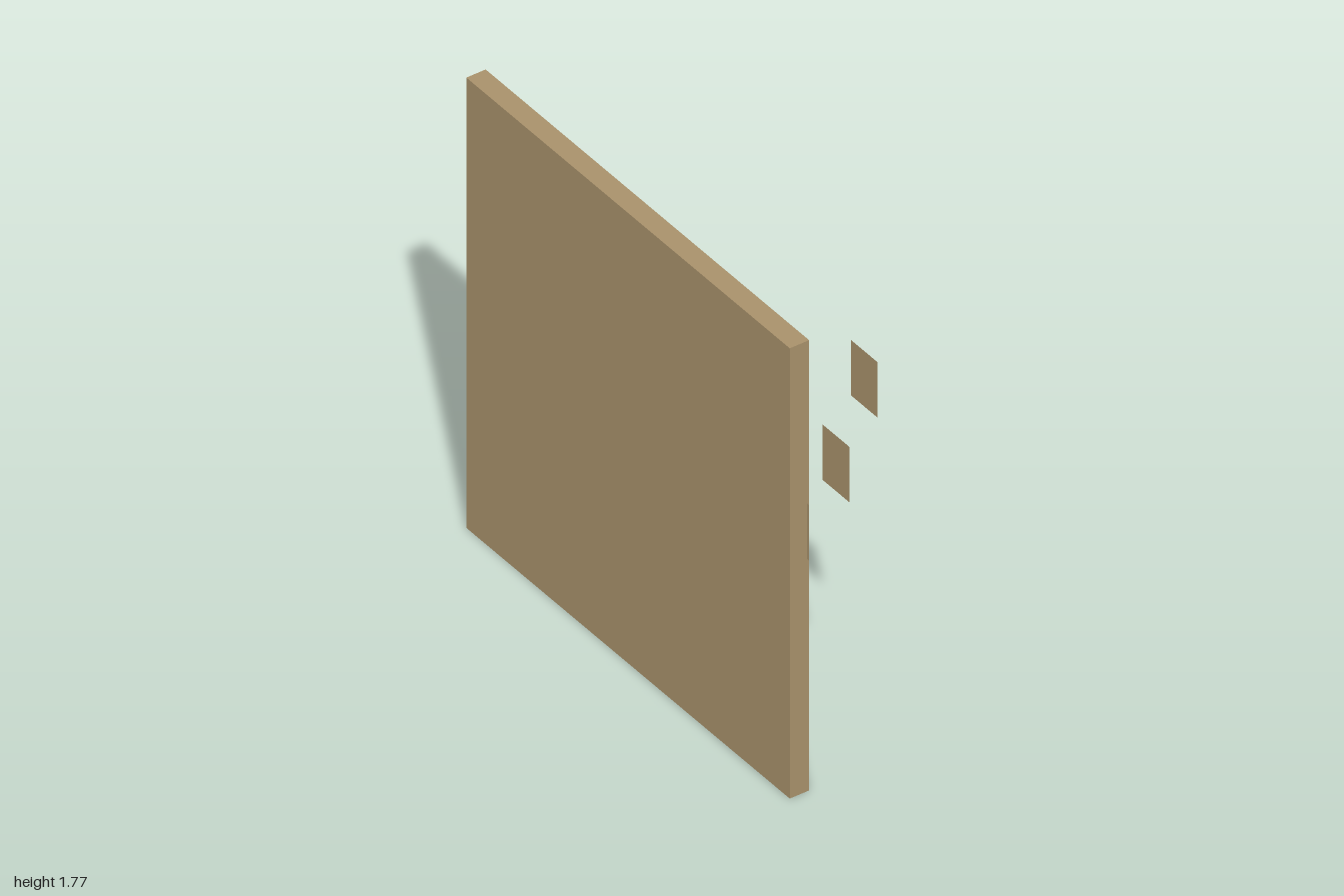
import * as THREE from 'three';

const CX = -0.1675, CY = 0.8375; // axis of the stepped tiers

const paint = (color, extra = {}) => new THREE.MeshStandardMaterial({ color, ...extra });

export function createModel() {
  const group = new THREE.Group();
  const sand = paint(0xa8916b);
  const brick = paint(0xa0492a);
  const slate = paint(0x708090);
  const stone = paint(0x8a8686, { flatShading: true });
  const cloth = paint(0xa8916b, { side: THREE.DoubleSide });

  const add = (name, geometry, material, x, y, z) => {
    const mesh = new THREE.Mesh(geometry, material);
    mesh.name = name;
    mesh.position.set(x, y, z);
    group.add(mesh);
    return mesh;
  };

  // Five square tiers, shrinking towards the back
  const depth = 0.0707;
  for (let i = 0; i < 5; i++) {
    const size = 1.665 - i * 0.257;
    add('tier' + (i + 1), new THREE.BoxGeometry(size, size, depth), sand,
      CX, CY, 0.226 - depth * (i + 0.5));
  }

  // Small shrine on the last tier, with a slightly tilted roof slab
  add('shrine', new THREE.BoxGeometry(0.15, 0.125, 0.095), brick, CX, 0.842, -0.172);
  const roof = add('shrineRoof', new THREE.BoxGeometry(0.185, 0.153, 0.005), slate, CX, 0.838, -0.222);
  roof.rotation.set(0.04, 0.02, 0);

  // Thin stair panels climbing away from the side
  [[0.606, 0.967, 0.163], [0.797, 1.292, 0.151], [0.926, 1.677, 0.139]].forEach(([x, y, z], i) =>
    add('stairPanel' + (i + 1), new THREE.PlaneGeometry(0.138, 0.205), cloth, x, y, z));

  // Loose stones half sunk into the second tier: x, y, radius, height
  [[0.553, 0.315, 0.038, 0.041], [0.53, 0.178, 0.023, 0.024], [-0.858, 1.36, 0.02, 0.02]]
    .forEach(([x, y, r, h], i) => {
      const rock = add('stone' + (i + 1), new THREE.CylinderGeometry(r, r, h, 7), stone, x, y, 0.155 - h / 2);
      rock.rotation.x = Math.PI / 2;
    });

  return group;
}
